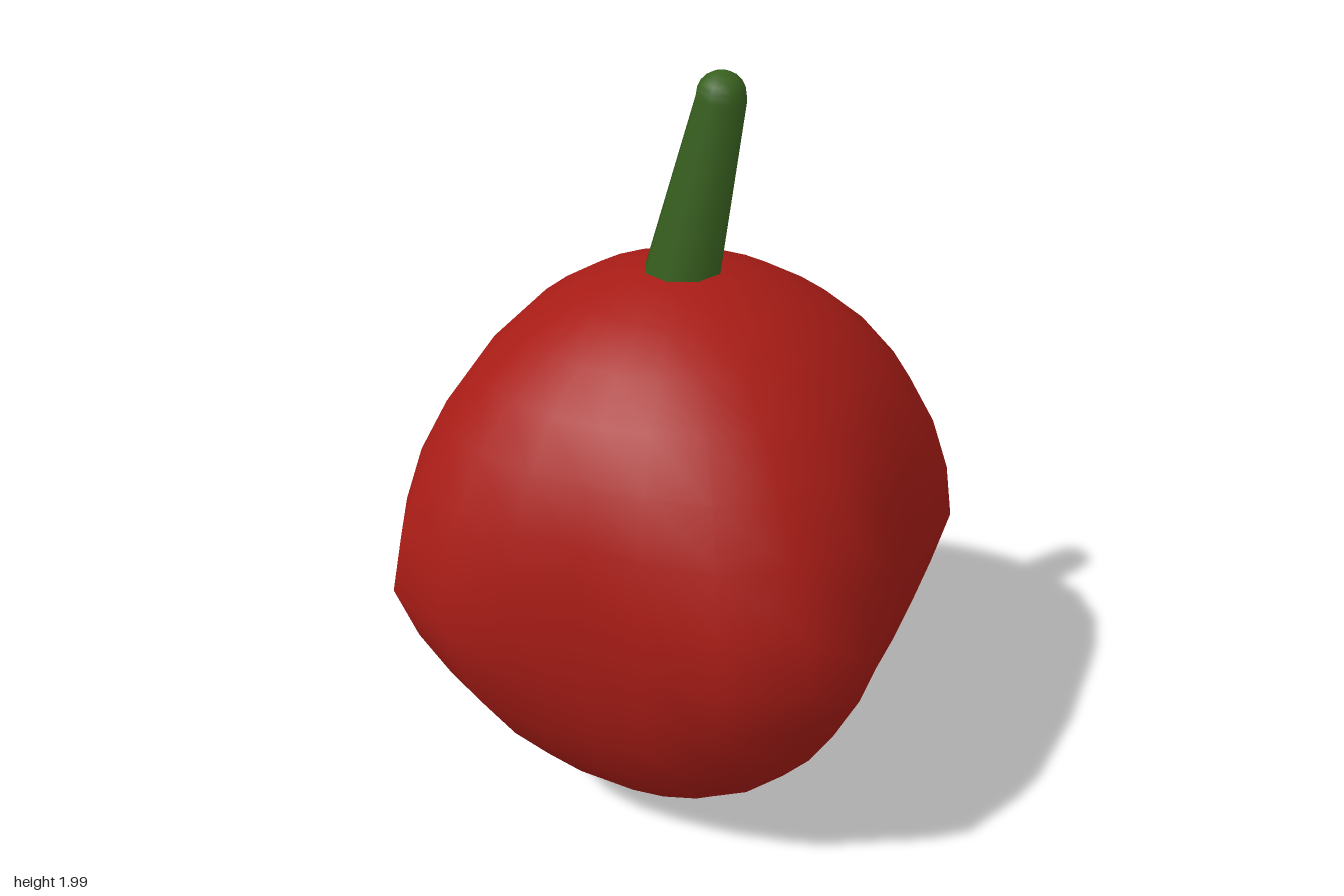
import * as THREE from 'three';

const RADIUS = 0.764, CENTER_Y = 0.77;

// Four-lobed fruit: lobes are strongest at the equator, the lower half tapers
function makeFruit() {
  const geo = new THREE.SphereGeometry(1, 24, 16);
  const pos = geo.attributes.position;
  for (let i = 0; i < pos.count; i++) {
    const x = pos.getX(i), y = pos.getY(i), z = pos.getZ(i);
    const lobe = 0.085 * Math.cos(4 * Math.atan2(z, x)) * (1 - Math.abs(y));
    const taper = y < 0 ? 1 + 0.15 * y : 1;
    const r = (0.695 + lobe) * taper;
    pos.setXYZ(i, x * r, CENTER_Y + y * RADIUS, z * r);
  }
  geo.computeVertexNormals();

  // Share normals across the seam so it stays invisible
  const n = geo.attributes.normal;
  for (let row = 0; row <= 16; row++) {
    const a = row * 25, b = a + 24;
    const v = new THREE.Vector3().fromBufferAttribute(n, a)
      .add(new THREE.Vector3().fromBufferAttribute(n, b)).normalize();
    for (const k of [a, b]) n.setXYZ(k, v.x, v.y, v.z);
  }
  const fruit = new THREE.Mesh(geo, new THREE.MeshStandardMaterial({ color: 0xa81c16 }));
  fruit.name = 'fruit';
  return fruit;
}

// Tapered eight-sided stem with a domed tip, sheared sideways
function makeStem() {
  const base = 1.51, tipY = 1.935, tipR = 0.065;
  const profile = [new THREE.Vector2(0, base), new THREE.Vector2(0.1, base), new THREE.Vector2(0.1, base)];
  for (let i = 0; i <= 5; i++) {
    const a = (i / 5) * Math.PI / 2;
    profile.push(new THREE.Vector2(i === 5 ? 0 : tipR * Math.cos(a), tipY + tipR * Math.sin(a)));
  }
  const geo = new THREE.LatheGeometry(profile, 8);
  const shear = 0.1 / (tipY - base);
  const pos = geo.attributes.position;
  for (let i = 0; i < pos.count; i++) {
    const lean = shear * (Math.min(pos.getY(i), tipY) - base);
    pos.setX(i, pos.getX(i) + lean);
  }
  const stem = new THREE.Mesh(geo, new THREE.MeshStandardMaterial({ color: 0x38601f }));
  stem.name = 'stem';
  return stem;
}

export function createModel() {
  const model = new THREE.Group();
  model.name = 'lobedFruit';
  model.add(makeFruit(), makeStem());
  return model;
}
